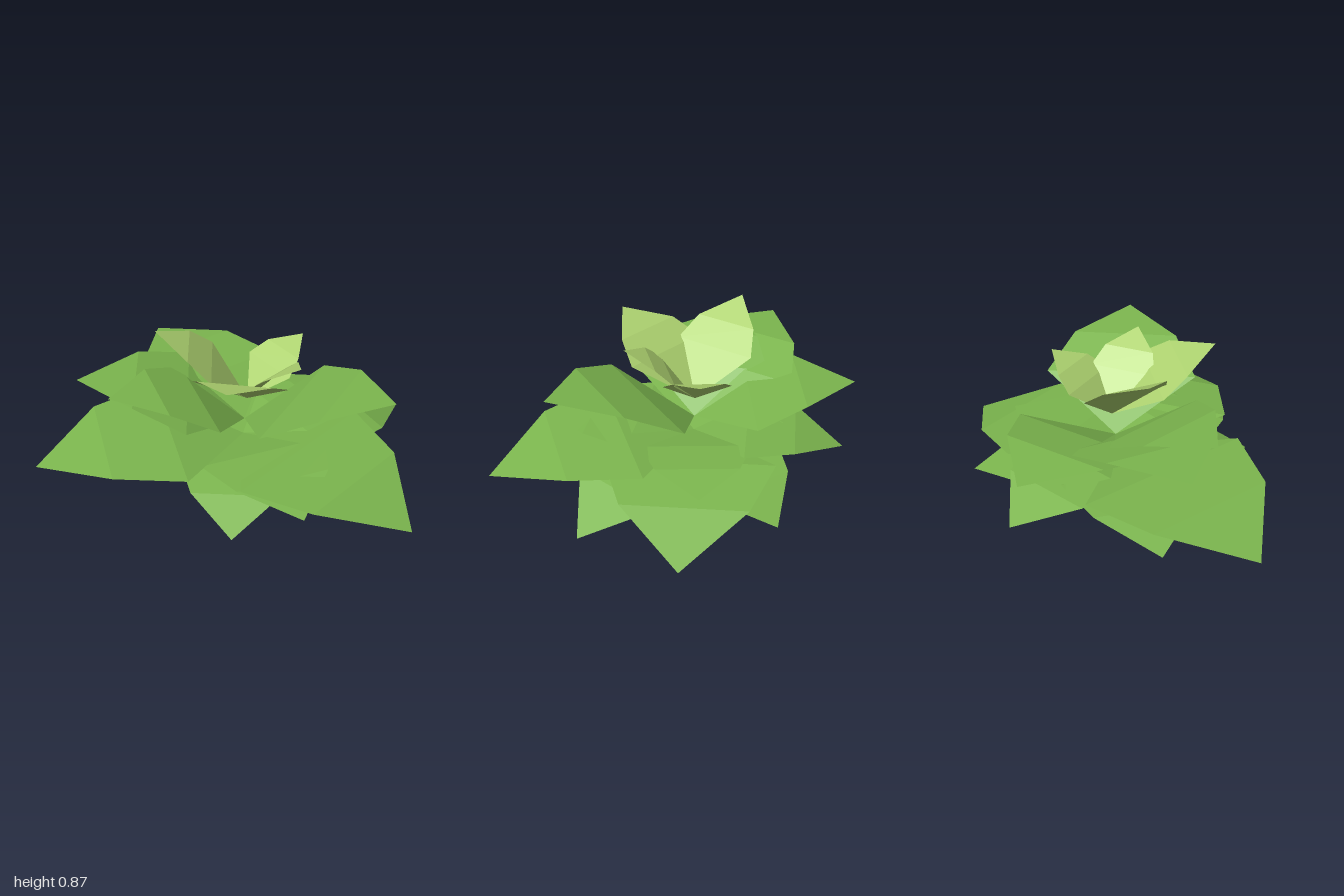
import * as THREE from 'three';

// One symmetric leaf: flat across, arched along its length.
// Corner positions are fractions of its plan length: along the midline and out to each side.
function leafGeometry(root, [x, y, z, shoulderY], { low, shoulder }) {
  const base = new THREE.Vector3(...root);
  const tip = new THREE.Vector3(x, y, z);
  const reach = tip.clone().sub(base);

  // arch through root, shoulder and tip
  const s = shoulder[0];
  const bend = (shoulderY - base.y - s * reach.y) / (s * s - s);
  const corner = ([along, out], side) => new THREE.Vector3(
    base.x + along * reach.x + side * out * reach.z,
    base.y + along * (reach.y - bend) + along * along * bend,
    base.z + along * reach.z - side * out * reach.x
  );
  const [lowA, lowB, shoulderA, shoulderB] = [
    corner(low, 1), corner(low, -1), corner(shoulder, 1), corner(shoulder, -1),
  ];

  const geometry = new THREE.BufferGeometry().setFromPoints([
    base, lowA, lowB,
    lowA, shoulderA, shoulderB,
    lowA, shoulderB, lowB,
    shoulderA, tip, shoulderB,
  ]);
  geometry.computeVertexNormals();
  return geometry;
}

function leafMaterial(name, color) {
  const material = new THREE.MeshStandardMaterial({ color, side: THREE.DoubleSide, flatShading: true });
  material.name = name;
  return material;
}

export function createModel() {
  const green = leafMaterial('leaf green', 0x7cb64e);
  const lightGreen = leafMaterial('young leaf green', 0xaed370);
  const spreading = { low: [0.36, 0.43], shoulder: [0.68, 0.31] };
  const cupped = { low: [0.34, 0.47], shoulder: [0.65, 0.33] };
  const upright = { low: [0.39, 0.47], shoulder: [0.64, 0.355] };

  const model = new THREE.Group();
  model.name = 'leafyPlant';

  // each leaf: tip x, y, z, then shoulder height
  const addTier = (name, material, root, shape, leaves) => {
    const tier = new THREE.Group();
    tier.name = name + 'Tier';
    leaves.forEach((leaf, i) => {
      const mesh = new THREE.Mesh(leafGeometry(root, leaf, shape), material);
      mesh.name = name + (i + 1);
      tier.add(mesh);
    });
    model.add(tier);
  };

  // small drooping leaves underneath
  addTier('lowestLeaf', green, [-0.13, 0.24, 0], spreading, [
    [0.53, 0, -0.55, 0.16],
    [0.39, 0.11, 0.52, 0.21],
    [-0.45, 0.095, -0.7, 0.2],
    [-0.76, 0.2, 0.57, 0.28],
  ]);

  // large spreading leaves
  addTier('outerLeaf', green, [-0.13, 0.25, 0], spreading, [
    [0.08, 0.11, -1, 0.24],
    [-0.62, 0.23, 1, 0.33],
    [0.96, 0.145, -0.16, 0.28],
    [-0.9, 0.2, -0.18, 0.29],
    [0.63, 0.24, 0.26, 0.305],
    [-0.06, 0.28, -0.68, 0.31],
  ]);

  // raised bowl of leaves
  addTier('middleLeaf', green, [-0.13, 0.34, -0.01], cupped, [
    [-0.97, 0.525, -0.07, 0.545],
    [-0.68, 0.6, 0.67, 0.6],
    [-0.39, 0.62, 0.67, 0.61],
    [0.65, 0.67, -0.33, 0.64],
  ]);

  // young leaves in the heart
  addTier('innerLeaf', lightGreen, [-0.13, 0.46, -0.03], upright, [
    [-0.43, 0.87, 0.33, 0.78],
    [0.21, 0.81, 0.385, 0.75],
    [0.24, 0.785, -0.07, 0.72],
    [-0.1, 0.73, -0.4, 0.68],
  ]);

  return model;
}
